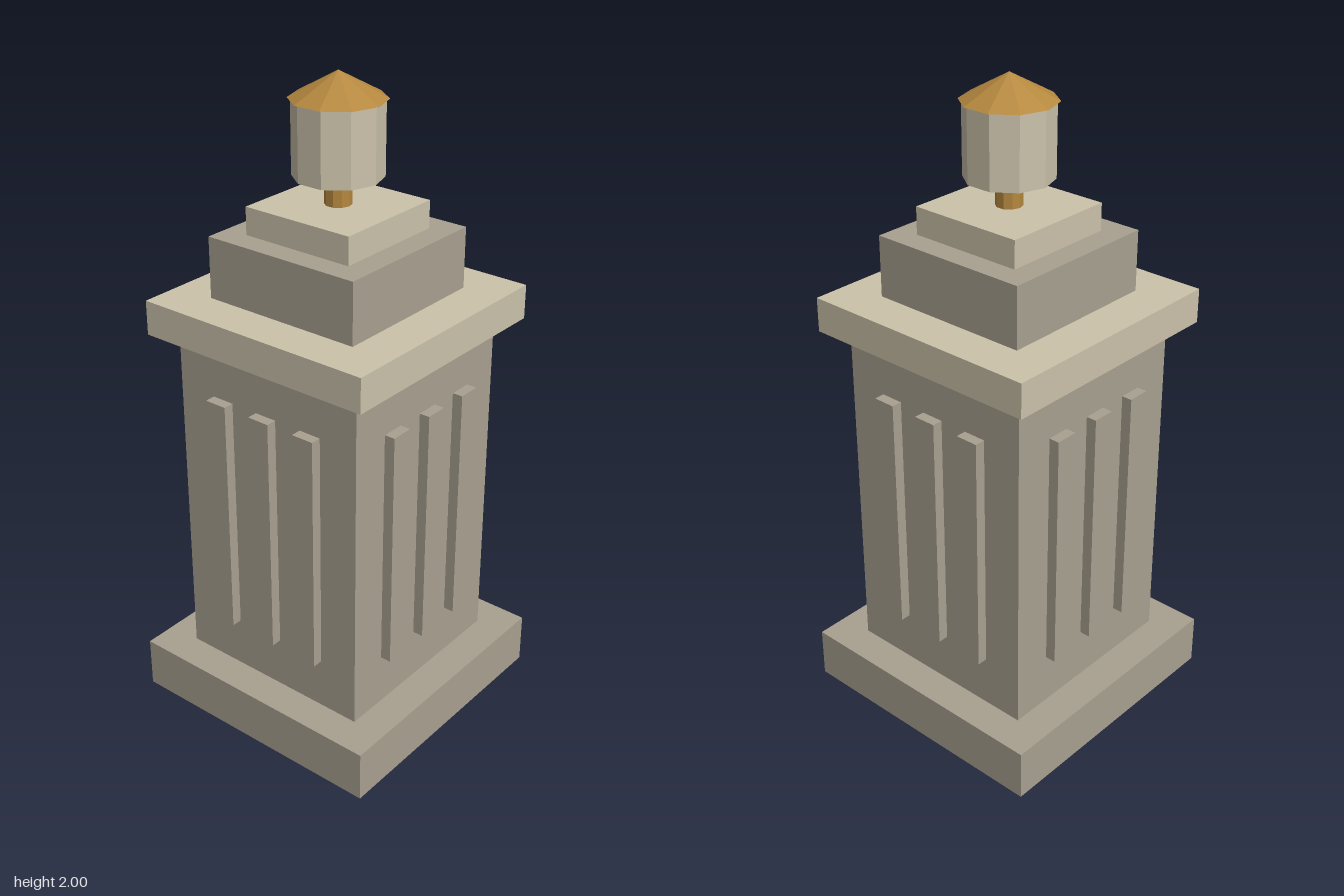
import * as THREE from 'three';

export function createModel() {
  const model = new THREE.Group();
  model.name = 'monument';

  const material = (name, color) => {
    const m = new THREE.MeshStandardMaterial({ color, flatShading: true });
    m.name = name;
    return m;
  };
  const darkStone = material('dark stone', 0xa8a090);
  const paleStone = material('pale stone', 0xcbc2aa);
  const bronze = material('bronze', 0xb5883e);

  const add = (name, geometry, mat, y, parent = model) => {
    const mesh = new THREE.Mesh(geometry, mat);
    mesh.name = name;
    mesh.position.y = y;
    parent.add(mesh);
    return mesh;
  };

  // Square tiers: name, half width, bottom, top, material
  const tiers = [
    ['base', 0.431, 0, 0.162, darkStone],
    ['shaft', 0.325, 0.162, 1.247, darkStone],
    ['cornice', 0.389, 1.247, 1.353, paleStone],
    ['upperBlock', 0.258, 1.353, 1.54, darkStone],
    ['capSlab', 0.183, 1.54, 1.624, paleStone],
  ];
  for (const [name, half, y0, y1, mat] of tiers) {
    add(name, new THREE.BoxGeometry(half * 2, y1 - y0, half * 2), mat, (y0 + y1) / 2);
  }

  // Three raised ribs on each of the four shaft faces
  const ribGeometry = new THREE.BoxGeometry(0.072, 0.758, 0.066);
  for (let side = 0; side < 4; side++) {
    const face = new THREE.Group();
    face.name = 'shaftRibs';
    face.rotation.y = side * Math.PI / 2;
    model.add(face);
    for (const x of [-0.162, 0, 0.162]) {
      add('rib', ribGeometry, darkStone, 0.704, face).position.set(x, 0.704, 0.325);
    }
  }

  // Ten-sided lantern on a short stem
  add('lanternStem', new THREE.CylinderGeometry(0.04, 0.04, 0.081, 10), bronze, 1.6645);
  add('lanternDrum', new THREE.CylinderGeometry(0.131, 0.131, 0.218, 10), paleStone, 1.814);
  add('lanternRoof', new THREE.ConeGeometry(0.14, 0.077, 10), bronze, 1.9615);

  return model;
}
